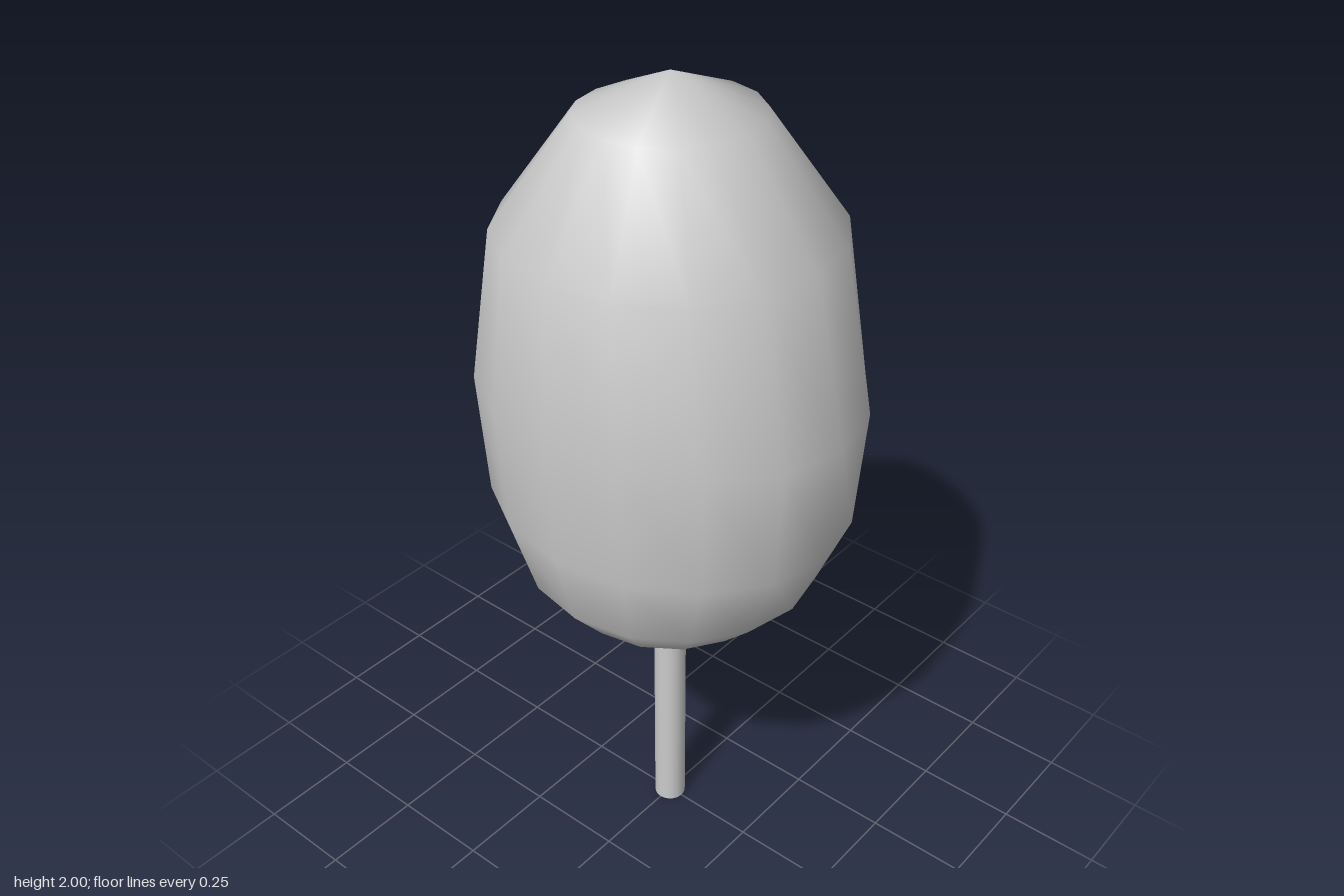
import * as THREE from 'three';
import { mergeVertices } from 'three/addons/utils/BufferGeometryUtils.js';

const material = new THREE.MeshStandardMaterial({ color: 0xcccccc });

// Rings from bottom to top: side radius and height, front radius and height
const rings = [
  [0, 0.69, 0, 0.69],
  [0.13, 0.685, 0.14, 0.685],
  [0.25, 0.707, 0.265, 0.717],
  [0.34, 0.81, 0.365, 0.815],
  [0.39, 1.0, 0.447, 1.0],
  [0.408, 1.31, 0.468, 1.29],
  [0.382, 1.675, 0.385, 1.665],
  [0.205, 1.92, 0.202, 1.913],
  [0, 2, 0, 2],
];

// Smooth 16-sided crown, round at the top and oval through the middle
function crownGeometry() {
  const sides = 16;
  const geometry = new THREE.LatheGeometry(rings.map(() => new THREE.Vector2(1, 0)), sides);
  const position = geometry.attributes.position;
  for (let i = 0; i < position.count; i++) {
    const [rx, yx, rz, yz] = rings[i % rings.length];
    const s = position.getX(i), c = position.getZ(i);
    position.setXYZ(i, rx * s, yx * s * s + yz * c * c, rz * c);
  }
  // Weld the seam and the poles so the shading is continuous
  geometry.deleteAttribute('uv');
  geometry.deleteAttribute('normal');
  const welded = mergeVertices(geometry, 1e-4);
  welded.computeVertexNormals();
  return welded;
}

export function createModel() {
  const model = new THREE.Group();
  model.name = 'tree';

  const crown = new THREE.Mesh(crownGeometry(), material);
  crown.name = 'crown';

  // Slim straight trunk reaching just inside the crown
  const trunk = new THREE.Mesh(new THREE.CylinderGeometry(0.04, 0.04, 0.72, 16), material);
  trunk.name = 'trunk';
  trunk.position.y = 0.36;

  model.add(crown, trunk);
  return model;
}
